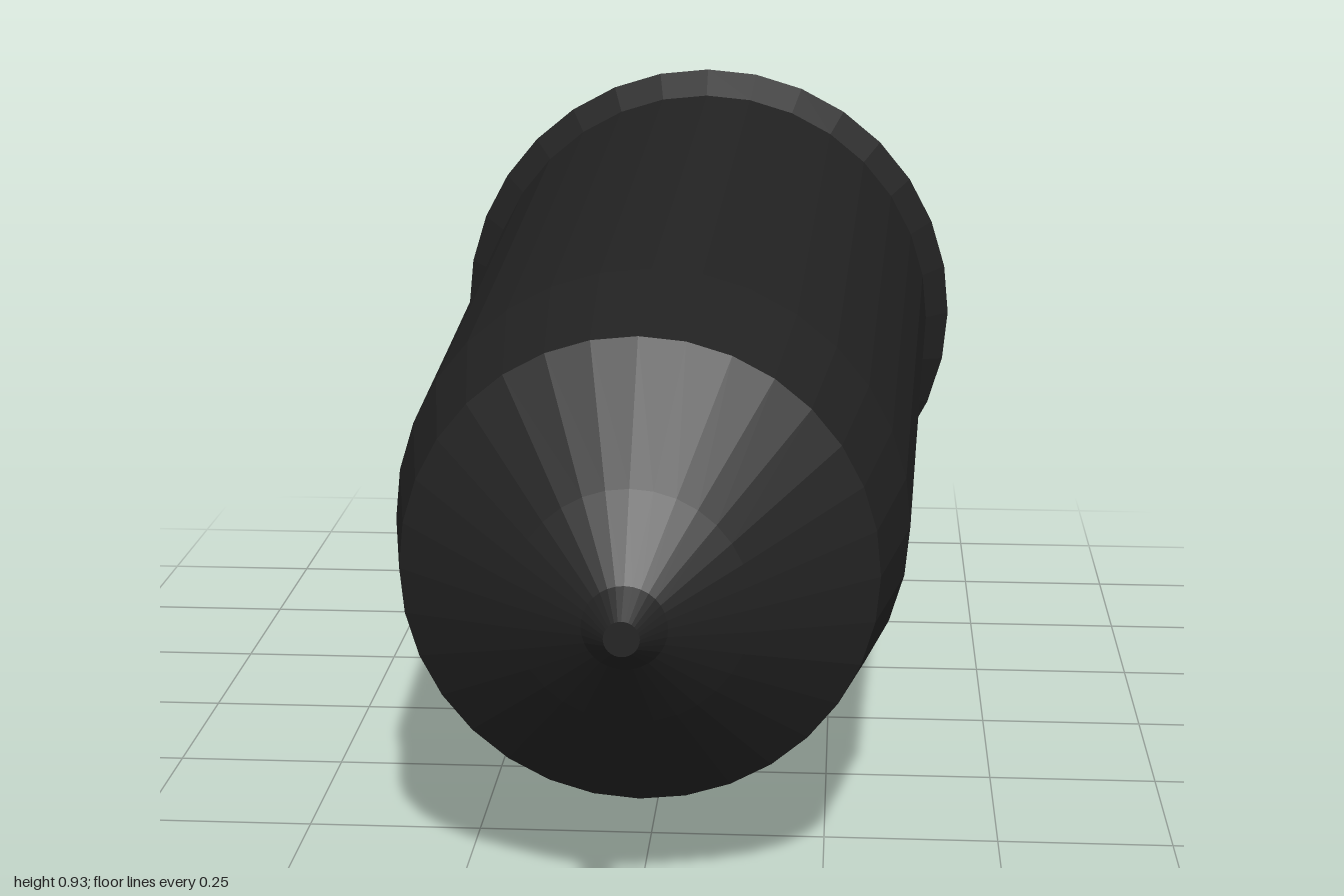
import * as THREE from 'three';

const RADIUS = 0.463; // rim radius, also the height of the axis
const SIDES = 32;

export function createModel() {
  const model = new THREE.Group();
  model.name = 'taperedCasing';
  const charcoal = new THREE.MeshStandardMaterial({ color: 0x222222, flatShading: true });
  charcoal.name = 'charcoal';

  // Turns a [radius, z] profile, listed back to front, around the long axis
  function turned(name, profile) {
    const points = profile.map(([r, z]) => new THREE.Vector2(r, z));
    const geometry = new THREE.LatheGeometry(points, SIDES);
    geometry.rotateX(Math.PI / 2);
    const mesh = new THREE.Mesh(geometry, charcoal);
    mesh.name = name;
    mesh.position.y = RADIUS;
    model.add(mesh);
  }

  // Closed back and flared rim
  turned('flaredBase', [[0, -1], [RADIUS, -1], [0.42, -0.95]]);
  // Long tapering barrel with a shoulder at the front
  turned('barrel', [[0.42, -0.95], [0.383, 0], [0.365, 0.48], [0.322, 0.72]]);
  // Cone narrowing to a small blunt tip
  turned('noseCone', [[0.322, 0.72], [0.157, 0.87], [0.055, 0.955], [0.023, 1], [0, 1]]);

  return model;
}
